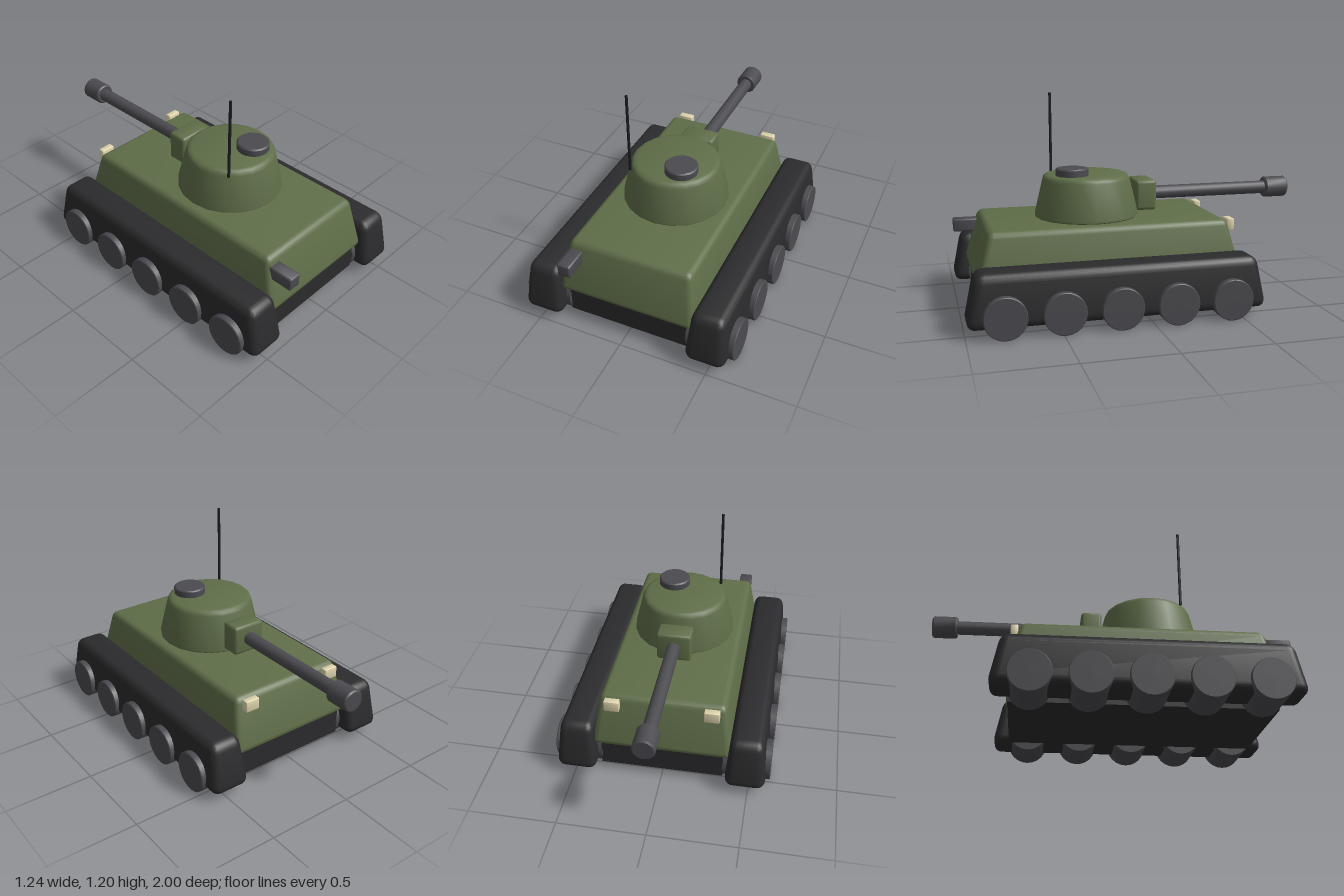
import * as THREE from 'three';
import { toCreasedNormals } from 'three/addons/utils/BufferGeometryUtils.js';
import { RoundedBoxGeometry } from 'three/addons/geometries/RoundedBoxGeometry.js';

const paint = (color) => new THREE.MeshStandardMaterial({ color });

export function createModel() {
  const model = new THREE.Group();
  const green = paint(0x5f6e49);
  const black = paint(0x2b2b2d);
  const steel = paint(0x4b4b50);
  const cream = paint(0xe0d5ad);
  const wire = paint(0x1d1d20);

  function add(name, geometry, material, x, y, z) {
    const mesh = new THREE.Mesh(geometry, material);
    mesh.name = name;
    mesh.position.set(x, y, z);
    model.add(mesh);
    return mesh;
  }

  // Rounded box that narrows towards its top
  function taperedBox(w, h, d, radius, topX = 1, topZ = 1) {
    const geometry = new RoundedBoxGeometry(w, h, d, 3, radius);
    const p = geometry.attributes.position;
    for (let i = 0; i < p.count; i++) {
      const t = p.getY(i) / h + 0.5;
      p.setX(i, p.getX(i) * (1 + (topX - 1) * t));
      p.setZ(i, p.getZ(i) * (1 + (topZ - 1) * t));
    }
    return toCreasedNormals(geometry, 0.7);
  }

  // Upright drum with small chamfers, centred on its own middle
  function drum(r, h, bevel, sides) {
    const profile = [[0, -h / 2], [r - bevel, -h / 2], [r, -h / 2 + bevel],
      [r, h / 2 - bevel], [r - bevel, h / 2], [0, h / 2]];
    const points = profile.map(([a, b]) => new THREE.Vector2(a, b));
    return toCreasedNormals(new THREE.LatheGeometry(points, sides), 0.6);
  }

  // Hull and chassis
  add('hull', taperedBox(0.8, 0.31, 1.5, 0.035, 0.88, 0.89), green, 0, 0.35, 0.18);
  add('chassis', new THREE.BoxGeometry(0.7, 0.16, 1.44), black, 0, 0.125, 0.18);

  // Tracks and road wheels
  const trackGeometry = taperedBox(0.236, 0.29, 1.64, 0.05, 0.78, 0.93);
  const wheelGeometry = drum(0.115, 0.275, 0.004, 24).rotateZ(Math.PI / 2);
  for (const side of [-1, 1]) {
    const label = side > 0 ? 'left' : 'right';
    add(label + 'Track', trackGeometry, black, side * 0.482, 0.195, 0.18);
    for (let i = 0; i < 5; i++) {
      add(label + 'Wheel' + (i + 1), wheelGeometry, steel, side * 0.4825, 0.115, 0.8 - i * 0.3075);
    }
    add(label + 'Headlight', taperedBox(0.085, 0.065, 0.04, 0.004), cream, side * 0.28, 0.468, -0.522);
  }

  // Turret with softened rim
  const turretProfile = [[0, 0.5], [0.29, 0.5], [0.3, 0.51], [0.3, 0.522], [0.253, 0.718],
    [0.248, 0.732], [0.238, 0.743], [0.22, 0.749], [0, 0.749]];
  const turret = new THREE.LatheGeometry(turretProfile.map(([r, y]) => new THREE.Vector2(r, y)), 20);
  add('turret', toCreasedNormals(turret, 0.6), green, 0, 0, 0.25);
  add('hatch', drum(0.093, 0.06, 0.007, 20), steel, 0.077, 0.762, 0.347);
  add('antenna', new THREE.CylinderGeometry(0.008, 0.008, 0.475, 8), wire, -0.198, 0.9625, 0.42);

  // Gun
  add('gunMantlet', taperedBox(0.2, 0.175, 0.12, 0.018), green, 0, 0.617, -0.087);
  add('gunBarrel', drum(0.039, 0.78, 0.002, 16).rotateX(Math.PI / 2), steel, 0, 0.617, -0.5);
  add('muzzle', drum(0.063, 0.142, 0.008, 16).rotateX(Math.PI / 2), steel, 0, 0.617, -0.929);

  // Exhaust at the other end of the hull
  add('exhaust', taperedBox(0.076, 0.076, 0.18, 0.009), steel, -0.311, 0.419, 0.907);

  return model;
}
